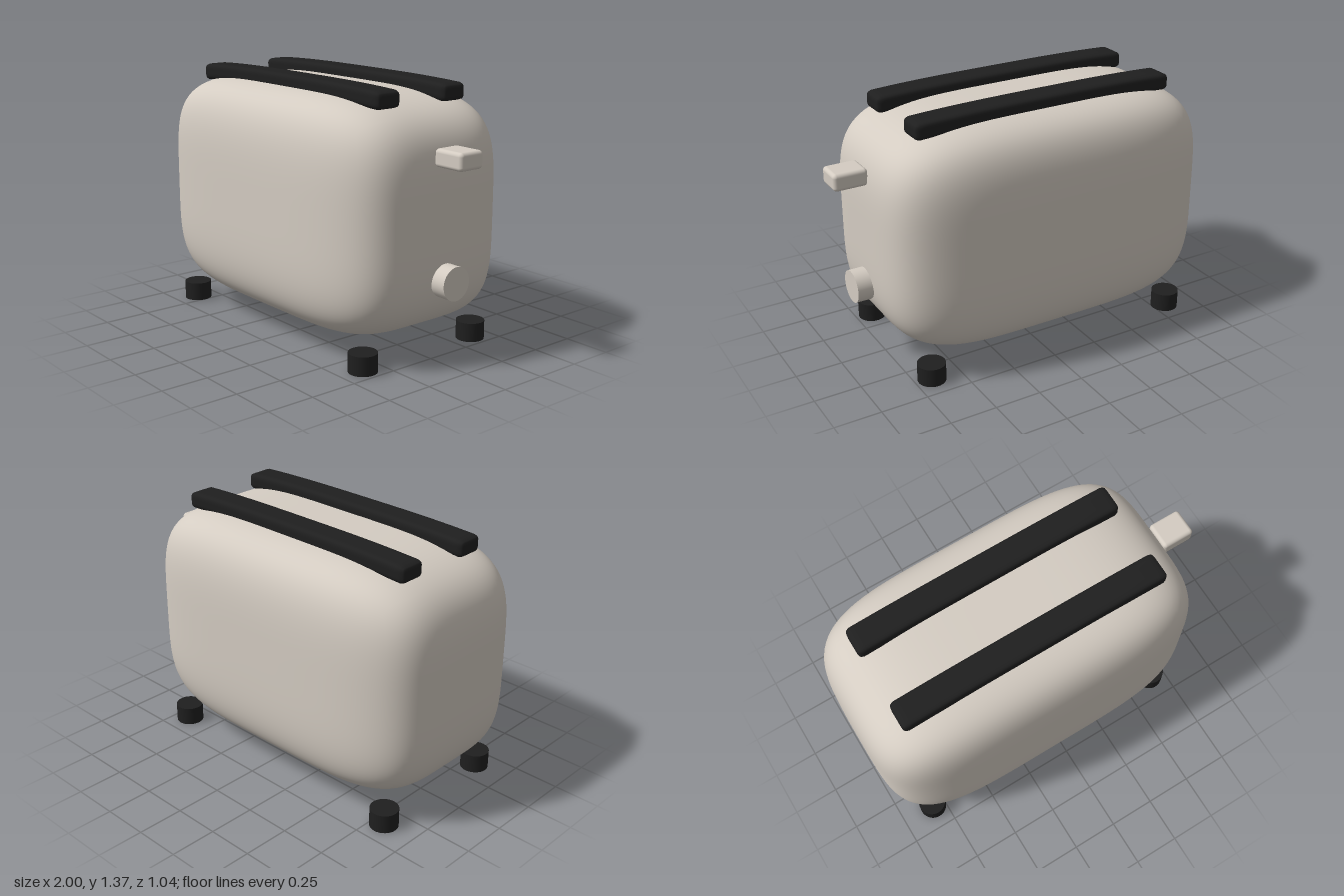
import * as THREE from 'three';
import { mergeVertices } from 'three/addons/utils/BufferGeometryUtils.js';
import { RoundedBoxGeometry } from 'three/addons/geometries/RoundedBoxGeometry.js';

// Moves every vertex by a rule, then welds seams and smooths the normals
function reshape(geometry, rule) {
  const pos = geometry.attributes.position;
  const p = new THREE.Vector3();
  for (let i = 0; i < pos.count; i++) {
    rule(p.fromBufferAttribute(pos, i));
    pos.setXYZ(i, p.x, p.y, p.z);
  }
  geometry.deleteAttribute('uv');
  geometry.deleteAttribute('normal');
  const smooth = mergeVertices(geometry, 1e-5);
  smooth.computeVertexNormals();
  return smooth;
}

// Puffed box: a cube pulled onto a superellipsoid
function puffedBox(hx, hy, hz, power) {
  return reshape(new THREE.BoxGeometry(2, 2, 2, 36, 36, 36), (p) => {
    const sum = Math.abs(p.x) ** power + Math.abs(p.y) ** power + Math.abs(p.z) ** power;
    p.multiplyScalar(sum ** (-1 / power));
    p.set(p.x * hx, p.y * hy, p.z * hz);
  });
}

// Long rounded bar whose ends droop a little
function droopingBar(w, h, d, r, droop) {
  const inner = new THREE.Vector3(w / 2 - r, h / 2 - r, d / 2 - r);
  const low = inner.clone().negate();
  const core = new THREE.Vector3();
  return reshape(new THREE.BoxGeometry(w, h, d, 60, 8, 10), (p) => {
    core.copy(p).clamp(low, inner);
    p.sub(core).setLength(r).add(core);
    p.y -= droop * Math.abs(p.x / (w / 2)) ** 3;
  });
}

export function createModel() {
  const model = new THREE.Group();
  const cream = new THREE.MeshStandardMaterial({ color: 0xd4ccc2 });
  cream.name = 'warm cream enamel';
  const black = new THREE.MeshStandardMaterial({ color: 0x1f1f1f });
  black.name = 'black plastic';

  const add = (name, geometry, material, x, y, z) => {
    const mesh = new THREE.Mesh(geometry, material);
    mesh.name = name;
    mesh.position.set(x, y, z);
    model.add(mesh);
    return mesh;
  };

  // Housing
  add('body', puffedBox(0.92, 0.61, 0.52, 4.4), cream, -0.08, 0.71, 0);

  // Slot bars along the top
  const bar = droopingBar(1.475, 0.088, 0.15, 0.025, 0.014);
  add('frontSlotBar', bar, black, -0.077, 1.325, 0.215);
  add('backSlotBar', bar, black, -0.077, 1.325, -0.215);

  // Lever and dial on the left end
  add('lever', new RoundedBoxGeometry(0.18, 0.09, 0.15, 4, 0.02), cream, 0.91, 1.047, 0);
  const dial = add('dial', new THREE.CylinderGeometry(0.086, 0.086, 0.085, 40), cream, 0.873, 0.432, 0);
  dial.rotation.z = -Math.PI / 2;

  // Feet
  const foot = new THREE.CylinderGeometry(0.074, 0.074, 0.1, 32);
  for (const [side, x] of [['left', 0.66], ['right', -0.817]]) {
    for (const [end, z] of [['Front', 0.37], ['Back', -0.37]]) {
      add(side + end + 'Foot', foot, black, x, 0.05, z);
    }
  }

  return model;
}
